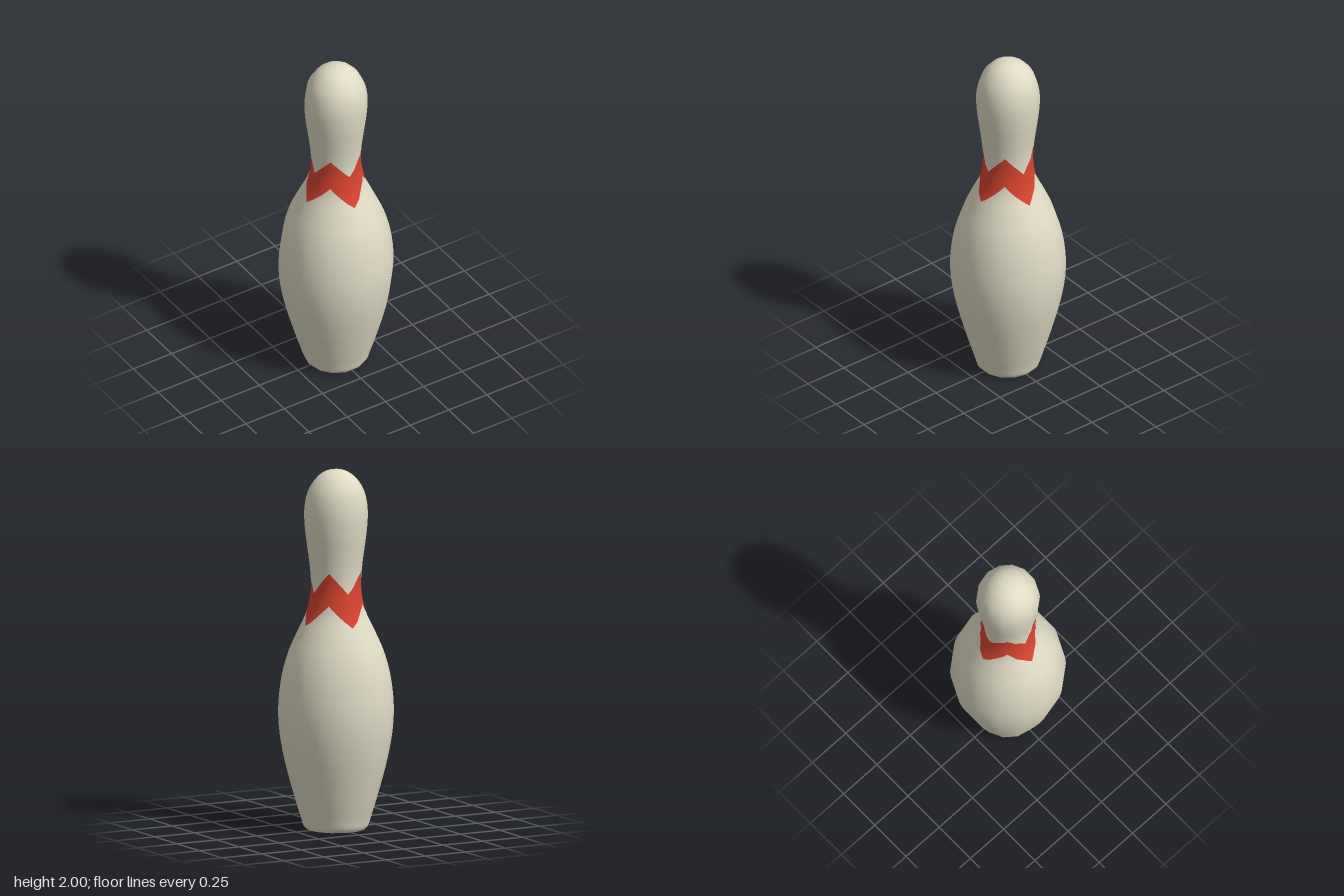
import * as THREE from 'three';

const SIDES = 14;        // the pin is a 14-sided turned form
const COLUMNS = 56;      // four columns per side, seven per zigzag stroke
const BASE_RADIUS = 0.165;

// Turned profile: radius, height
const profile = new THREE.SplineCurve([
  [BASE_RADIUS, 0], [0.18, 0.02], [0.195, 0.07], [0.217, 0.14], [0.243, 0.23], [0.27, 0.33],
  [0.295, 0.44], [0.312, 0.55], [0.318, 0.66], [0.311, 0.77], [0.293, 0.88], [0.261, 0.99],
  [0.213, 1.1], [0.166, 1.2], [0.144, 1.29], [0.138, 1.37], [0.144, 1.46], [0.157, 1.56],
  [0.169, 1.65], [0.175, 1.74], [0.171, 1.81], [0.156, 1.875], [0.13, 1.925], [0.095, 1.965],
  [0.05, 1.991], [0, 2],
].map(([r, y]) => new THREE.Vector2(r, y)));

// Profile parameter at a given height
function paramAt(y) {
  let lo = 0, hi = 1;
  for (let i = 0; i < 30; i++) {
    const mid = (lo + hi) / 2;
    if (profile.getPoint(mid).y < y) lo = mid; else hi = mid;
  }
  return (lo + hi) / 2;
}

// Zigzag edge: low on the axes, high on the diagonals
function zigzag(low, high) {
  return Array.from({ length: COLUMNS + 1 }, (_, j) => {
    const k = j % 14;
    return paramAt(low + (high - low) * (k <= 7 ? k : 14 - k) / 7);
  });
}

// Surface of the pin between two edges, each given as one parameter per column
function zone(name, material, bottom, top, rows) {
  const positions = [], normals = [], index = [];
  const step = (2 * Math.PI) / SIDES;
  for (let i = 0; i <= rows; i++) {
    for (let j = 0; j <= COLUMNS; j++) {
      const angle = (j / COLUMNS) * 2 * Math.PI;
      const u = THREE.MathUtils.lerp(bottom[j], top[j], i / rows);
      const p = profile.getPoint(u), t = profile.getTangent(u);
      const flat = Math.cos(step / 2) / Math.cos((angle % step) - step / 2);
      const c = Math.cos(angle), s = Math.sin(angle);
      positions.push(p.x * flat * c, p.y, p.x * flat * s);
      normals.push(t.y * c, -t.x, t.y * s);
      if (i < rows && j < COLUMNS) {
        const a = i * (COLUMNS + 1) + j, b = a + COLUMNS + 1;
        index.push(a, b, a + 1, b, b + 1, a + 1);
      }
    }
  }
  const geometry = new THREE.BufferGeometry();
  geometry.setAttribute('position', new THREE.Float32BufferAttribute(positions, 3));
  geometry.setAttribute('normal', new THREE.Float32BufferAttribute(normals, 3));
  geometry.setIndex(index);
  const mesh = new THREE.Mesh(geometry, material);
  mesh.name = name;
  return mesh;
}

export function createModel() {
  const cream = new THREE.MeshStandardMaterial({ color: 0xdfdbc4 });
  cream.name = 'cream';
  const red = new THREE.MeshStandardMaterial({ color: 0xd6432f });
  red.name = 'red';

  const group = new THREE.Group();
  group.name = 'bowlingPin';

  const bandBottom = zigzag(1.14, 1.26);
  const bandTop = zigzag(1.32, 1.44);
  const level = (u) => new Array(COLUMNS + 1).fill(u);

  // Belly, zigzag neck band and head
  group.add(zone('body', cream, level(0), bandBottom, 50));
  group.add(zone('neckBand', red, bandBottom, bandTop, 10));
  group.add(zone('head', cream, bandTop, level(1), 40));

  // Flat underside
  const base = new THREE.Mesh(new THREE.CircleGeometry(BASE_RADIUS, SIDES), cream);
  base.rotation.x = Math.PI / 2;
  base.name = 'base';
  group.add(base);

  return group;
}
